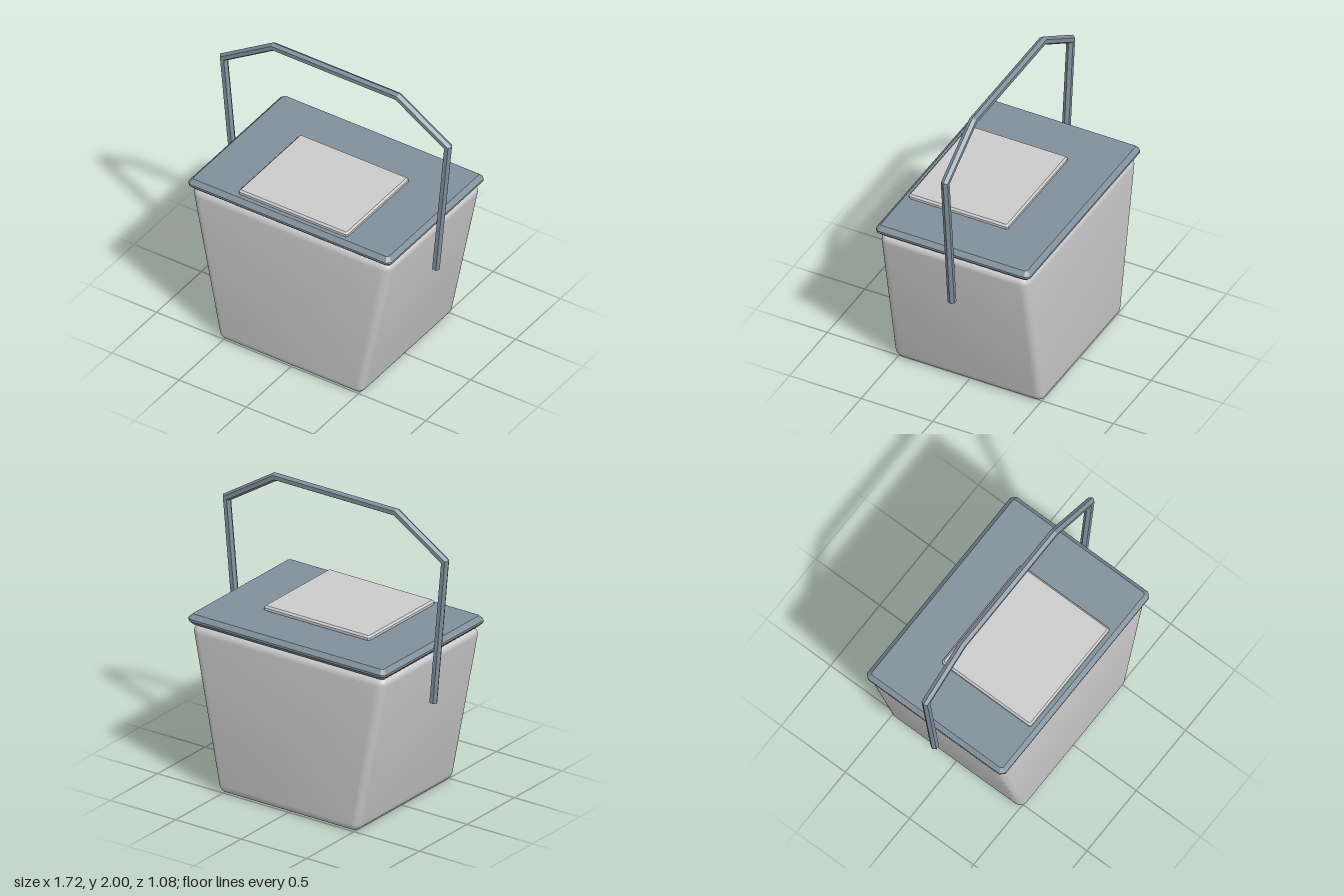
import * as THREE from 'three';
import { mergeVertices, toCreasedNormals } from 'three/addons/utils/BufferGeometryUtils.js';
import { RoundedBoxGeometry } from 'three/addons/geometries/RoundedBoxGeometry.js';

const grey = new THREE.MeshStandardMaterial({ color: 0xcccccc });
const slate = new THREE.MeshStandardMaterial({ color: 0x80909b });

function part(name, geometry, material) {
  const mesh = new THREE.Mesh(geometry, material);
  mesh.name = name;
  return mesh;
}

// Rounded box whose sides lean outwards towards the top
function tubGeometry() {
  const height = 1.09, mid = 0.64;
  let g = new RoundedBoxGeometry(mid * 2, height, 1.04, 4, 0.055);
  g.deleteAttribute('normal');
  g.deleteAttribute('uv');
  g.translate(0, height / 2, 0);
  const p = g.attributes.position;
  for (let i = 0; i < p.count; i++) {
    const halfWidth = 0.528 + 0.199 * p.getY(i);
    p.setX(i, p.getX(i) * halfWidth / mid);
  }
  return toCreasedNormals(mergeVertices(g), 0.6);
}

// Flat slab with chamfered rim and cut corners, lying from y0 to y1
function slabGeometry(hx, hz, y0, y1, bevel) {
  const x = hx - bevel, z = hz - bevel, c = bevel * 0.4;
  const shape = new THREE.Shape([
    [-x + c, -z], [x - c, -z], [x, -z + c], [x, z - c],
    [x - c, z], [-x + c, z], [-x, z - c], [-x, -z + c],
  ].map(([a, b]) => new THREE.Vector2(a, b)));
  const g = new THREE.ExtrudeGeometry(shape, {
    depth: y1 - y0 - 2 * bevel, bevelThickness: bevel, bevelSize: bevel, bevelSegments: 1,
  });
  return g.rotateX(-Math.PI / 2).translate(0, y0 + bevel, 0);
}

// Six-sided bar bent along a path in the xy plane, with mitred joints
function barGeometry(points, radius) {
  const path = points.map(([x, y]) => new THREE.Vector2(x, y));
  const last = path.length - 1;
  const sideOf = (i) => {
    const t = path[i + 1].clone().sub(path[i]).normalize();
    return new THREE.Vector2(t.y, -t.x);
  };
  const mitres = path.map((_, i) => {
    const a = sideOf(Math.max(i - 1, 0)), b = sideOf(Math.min(i, last - 1));
    const m = a.clone().add(b).normalize();
    return m.divideScalar(m.dot(a));
  });
  const g = new THREE.CylinderGeometry(radius, radius, 1, 6, last, false, Math.PI / 2);
  const p = g.attributes.position;
  for (let i = 0; i < p.count; i++) {
    const row = Math.round((p.getY(i) + 0.5) * last);
    const v = path[row].clone().addScaledVector(mitres[row], p.getX(i));
    p.setXY(i, v.x, v.y);
  }
  const flat = g.toNonIndexed();
  flat.computeVertexNormals();
  return flat;
}

export function createModel() {
  const model = new THREE.Group();
  model.name = 'basket';

  model.add(part('tub', tubGeometry(), grey));
  model.add(part('lid', slabGeometry(0.755, 0.54, 1.09, 1.16, 0.028), slate));

  // Raised panel, set towards the front of the lid
  const panel = part('lidPanel', slabGeometry(0.405, 0.348, 1.15, 1.19, 0.012), grey);
  panel.position.z = 0.138;
  model.add(panel);

  // Carrying handle, mirrored from its left half
  const half = [[0.743, 0.76], [0.833, 1.737], [0.462, 1.973]];
  const path = [...half, ...half.map(([x, y]) => [-x, y]).reverse()];
  model.add(part('handle', barGeometry(path, 0.027), slate));

  return model;
}
